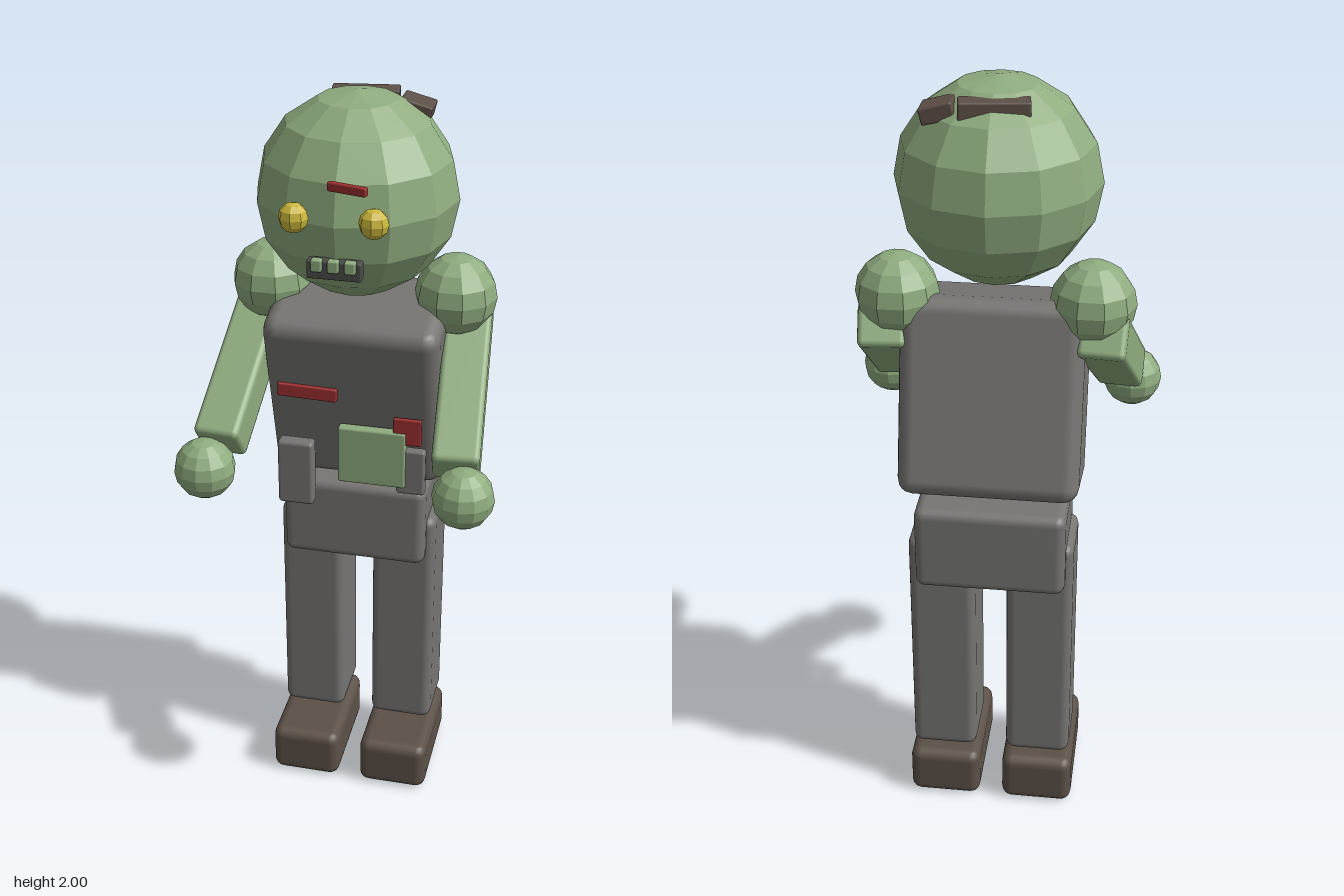
import * as THREE from 'three';
import { RoundedBoxGeometry } from 'three/addons/geometries/RoundedBoxGeometry.js';

const mat = (name, color) => Object.assign(new THREE.MeshStandardMaterial({ color }), { name });

export function createModel() {
  const model = new THREE.Group();
  model.name = 'zombieFigure';
  const skin = mat('skin green', 0x8fac7f);
  const cloth = mat('cloth grey', 0x767572);
  const shoe = mat('shoe brown', 0x5c5148);
  const hairBrown = mat('hair brown', 0x5e5048);
  const yellow = mat('eye yellow', 0xcdb93c);
  const red = mat('wound red', 0x9c3032);
  const dark = mat('mouth dark', 0x4a4c48);

  const add = (name, geo, material, pos, rot = [0, 0, 0]) => {
    const mesh = new THREE.Mesh(geo, material);
    mesh.name = name;
    mesh.position.set(...pos);
    mesh.rotation.set(...rot);
    model.add(mesh);
    return mesh;
  };
  // Soft-edged block
  const block = (name, size, r, material, pos, rot) =>
    add(name, new RoundedBoxGeometry(...size, 2, r), material, pos, rot);
  // Faceted ball
  const ball = (name, r, w, h, material, pos) => {
    const geo = new THREE.SphereGeometry(r, w, h).toNonIndexed();
    geo.computeVertexNormals();
    return add(name, geo, material, pos);
  };

  // Body, leaning forward
  block('torso', [0.45, 0.5, 0.27], 0.04, cloth, [0, 1.222, -0.12], [0.26, 0, 0]);
  block('pelvis', [0.385, 0.232, 0.265], 0.025, cloth, [-0.002, 0.832, -0.143]);

  // Limbs, mirrored
  for (const s of [-1, 1]) {
    const side = s > 0 ? 'left' : 'right';
    block(side + 'Leg', [0.173, 0.675, 0.19], 0.025, cloth, [s * 0.127, 0.503, -0.143]);
    block(side + 'Foot', [0.192, 0.143, 0.323], 0.028, shoe, [s * 0.127, 0.0715, -0.092]);
    ball(side + 'Shoulder', 0.105, 10, 8, skin, [s * 0.237, 1.475, -0.12]);
    const top = new THREE.Vector3(s * 0.265, 1.425, -0.195);
    const end = new THREE.Vector3(s * 0.3, 1.15, 0.195);
    const mid = top.clone().add(end).multiplyScalar(0.5);
    const arm = block(side + 'Arm', [0.118, 0.11, top.distanceTo(end)], 0.015, skin, mid.toArray());
    arm.lookAt(end);
    ball(side + 'Hand', 0.078, 12, 8, skin, [s * 0.327, 1.1, 0.235]);
    ball(side + 'Eye', 0.036, 8, 6, yellow, [s * 0.094, 1.77, 0.202]).scale.z = 0.9;
  }

  // Head and face
  ball('head', 0.25, 12, 8, skin, [0, 1.75, -0.05]);
  block('browScar', [0.098, 0.022, 0.015], 0.004, red, [0.033, 1.848, 0.203], [0, -0.25, 0]);
  block('mouth', [0.13, 0.045, 0.03], 0.004, dark, [0, 1.647, 0.19]);
  for (const x of [-0.04, 0, 0.04])
    block('tooth', [0.026, 0.03, 0.022], 0.004, skin, [x, 1.66, 0.204]);

  // Hair tufts
  block('hairTuft', [0.165, 0.055, 0.055], 0.005, hairBrown, [-0.004, 1.947, -0.158], [0, 0.14, 0]);
  block('sideHairTuft', [0.08, 0.04, 0.075], 0.005, hairBrown, [0.125, 1.94, -0.138], [0, 0, -0.25]);

  // Torn patches and pouches on the chest and belt
  block('chestWound', [0.156, 0.036, 0.02], 0.004, red, [-0.113, 1.235, 0.028], [0, 0, -0.03]);
  block('sideWound', [0.074, 0.075, 0.012], 0.004, red, [0.147, 1.145, 0.022]);
  block('bellyPatch', [0.178, 0.16, 0.03], 0.006, skin, [0.055, 1.062, 0.018]);
  block('rightPouch', [0.095, 0.185, 0.042], 0.01, cloth, [-0.148, 0.993, 0.017]);
  block('leftPouch', [0.075, 0.13, 0.028], 0.008, cloth, [0.157, 1.027, 0.013]);
  return model;
}
